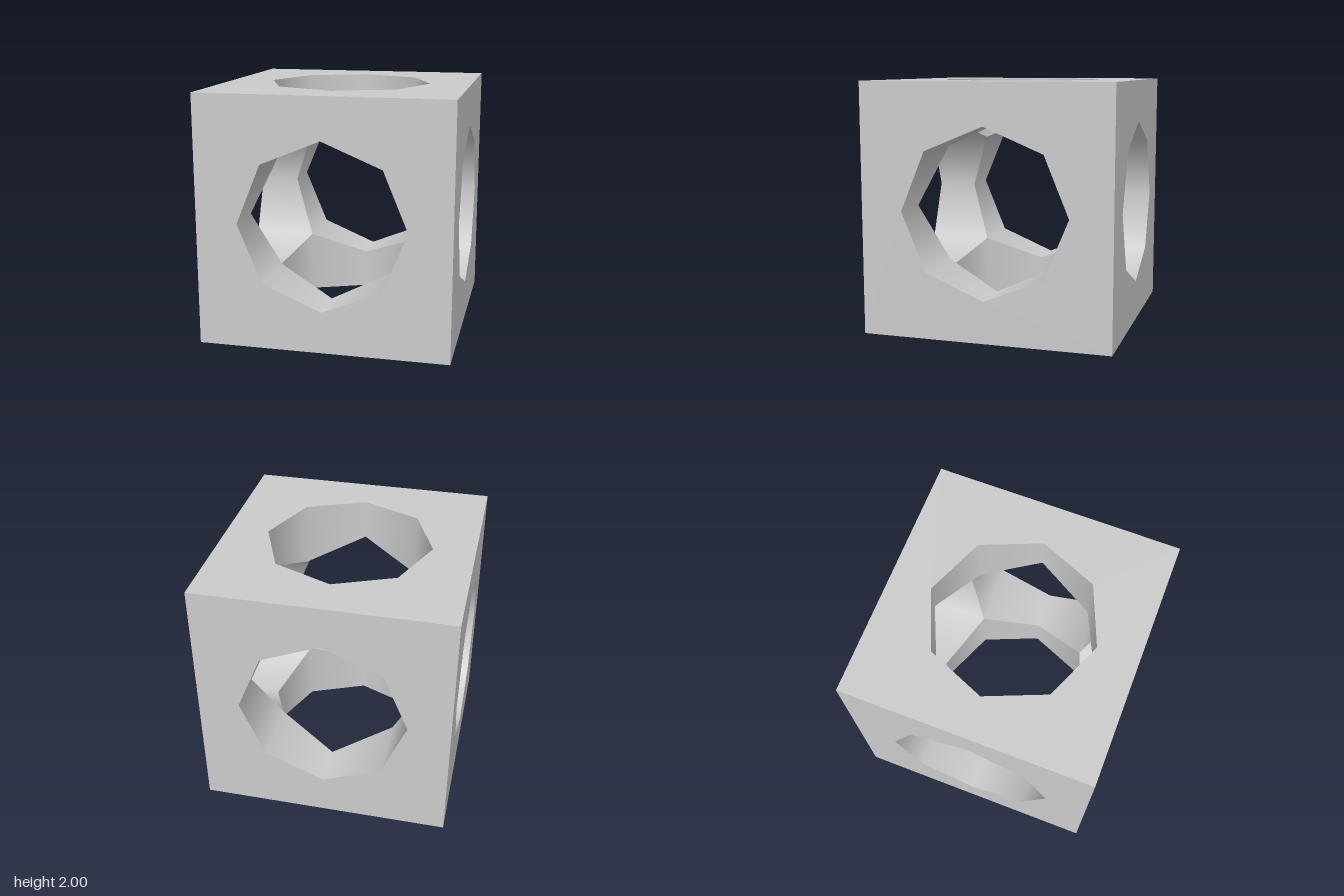
import * as THREE from 'three';

const HALF = 1;          // half the cube's edge
const R = 2 / 3;         // corner radius of the octagonal bores
const S = R * Math.SQRT1_2;
const SIDES = 8;

const corner = (i) => {
  const a = (i / SIDES) * Math.PI * 2;
  return new THREE.Vector2(Math.cos(a), Math.sin(a));
};

// Square plate with an octagonal opening
function plateGeometry() {
  const shape = new THREE.Shape([
    new THREE.Vector2(-HALF, -HALF), new THREE.Vector2(HALF, -HALF),
    new THREE.Vector2(HALF, HALF), new THREE.Vector2(-HALF, HALF),
  ]);
  const hole = [];
  for (let i = 0; i < SIDES; i++) hole.push(corner(-i).multiplyScalar(R));
  shape.holes.push(new THREE.Path(hole));
  return new THREE.ShapeGeometry(shape).translate(0, 0, HALF);
}

// Smooth bore wall from the plate inwards, ending in a zigzag
// where it meets the bores of the neighbouring sides
function boreGeometry() {
  const positions = [], normals = [], index = [];
  for (let i = 0; i <= SIDES; i++) {
    const c = corner(i);
    const inner = i % 2 === 0 ? R : S;
    for (const z of [inner, HALF]) {
      positions.push(c.x * R, c.y * R, z);
      normals.push(-c.x, -c.y, 0);
    }
    if (i < SIDES) {
      const a = i * 2;
      index.push(a, a + 1, a + 3, a, a + 3, a + 2);
    }
  }
  const geometry = new THREE.BufferGeometry();
  geometry.setAttribute('position', new THREE.Float32BufferAttribute(positions, 3));
  geometry.setAttribute('normal', new THREE.Float32BufferAttribute(normals, 3));
  geometry.setIndex(index);
  return geometry;
}

export function createModel() {
  const model = new THREE.Group();
  model.name = 'boredCube';
  const material = new THREE.MeshStandardMaterial({ color: 0xcccccc });
  const plate = plateGeometry();
  const bore = boreGeometry();

  // The same side turned to face all six directions
  const q = Math.PI / 2;
  const sides = [
    ['front', 0, 0], ['left', 0, q], ['back', 0, 2 * q],
    ['right', 0, -q], ['top', -q, 0], ['bottom', q, 0],
  ];
  for (const [name, rx, ry] of sides) {
    const side = new THREE.Group();
    side.name = name + 'Side';
    const face = new THREE.Mesh(plate, material);
    face.name = name + 'Face';
    const wall = new THREE.Mesh(bore, material);
    wall.name = name + 'Bore';
    side.add(face, wall);
    side.rotation.set(rx, ry, 0);
    side.position.y = HALF;
    model.add(side);
  }
  return model;
}
